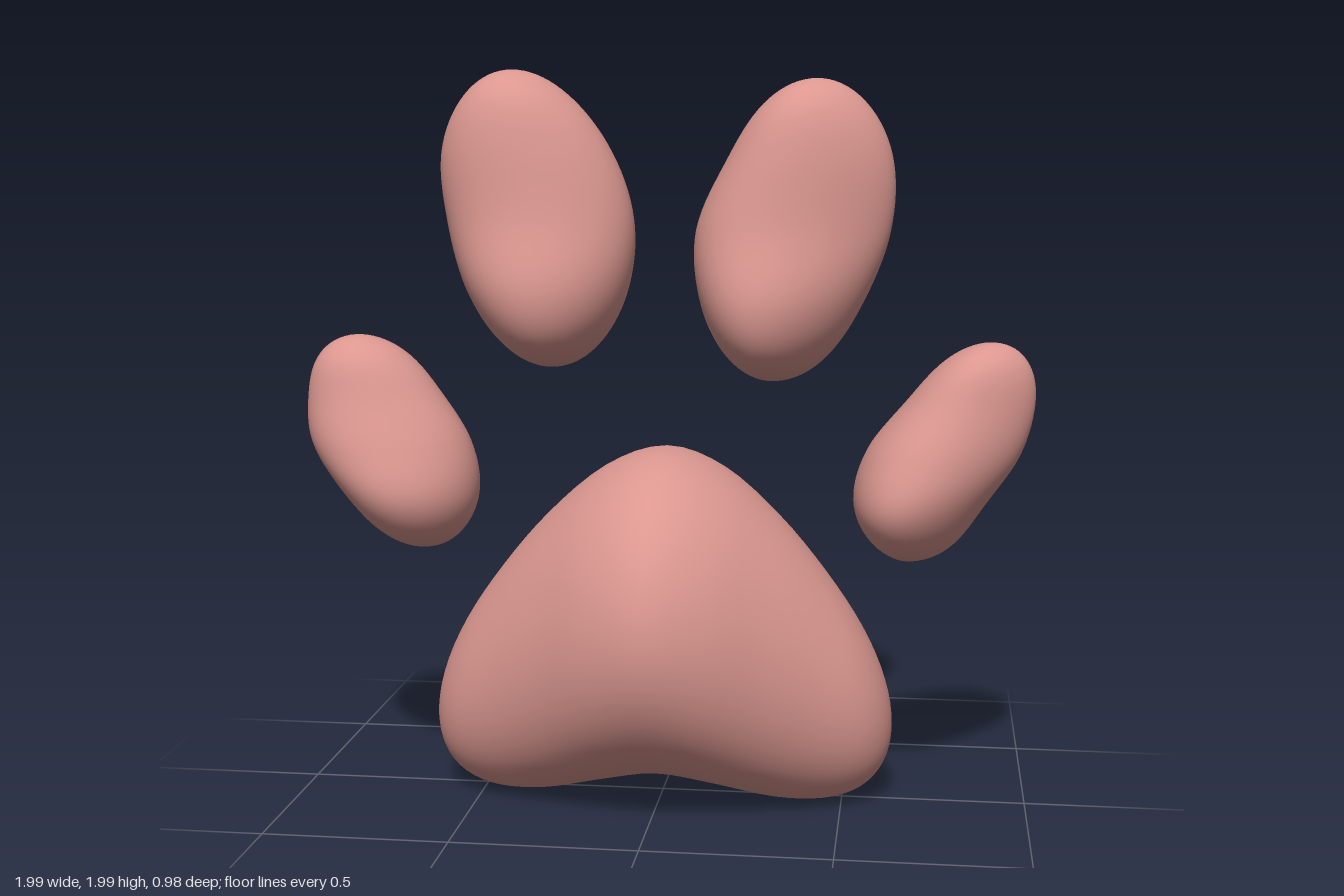
import * as THREE from 'three';
import { mergeVertices } from 'three/addons/utils/BufferGeometryUtils.js';

const RINGS = 48, SIDES = 64;

// Rounded blob lofted along an axis from a to b. Each evenly spaced station is
// [centre offset, half width, half depth]; a sine envelope rounds both ends.
// taper thins the section towards its positive side.
function blob(a, b, stations, { horizontal = false, taper = 0 } = {}) {
  const curve = new THREE.CatmullRomCurve3(
    stations.map((s) => new THREE.Vector3(...s)), false, 'catmullrom', 0.5);
  const pos = [], index = [], p = new THREE.Vector3();
  for (let j = 0; j <= RINGS; j++) {
    const phi = (j / RINGS) * Math.PI;
    const u = (1 - Math.cos(phi)) / 2;
    const env = j === 0 || j === RINGS ? 0 : Math.sin(phi);
    curve.getPoint(u, p);
    const along = a + (b - a) * u;
    for (let i = 0; i < SIDES; i++) {
      const t = (i / SIDES) * Math.PI * 2;
      const across = p.x + p.y * env * Math.cos(t);
      const z = p.z * env * Math.sin(t) * (1 - taper * Math.cos(t));
      if (horizontal) pos.push(along, across, -z);
      else pos.push(across, along, z);
    }
  }
  for (let j = 0; j < RINGS; j++) {
    for (let i = 0; i < SIDES; i++) {
      const k = (i + 1) % SIDES;
      const p0 = j * SIDES + i, p1 = j * SIDES + k;
      const q0 = p0 + SIDES, q1 = p1 + SIDES;
      if (j > 0) index.push(p0, q0, p1);
      if (j < RINGS - 1) index.push(p1, q0, q1);
    }
  }
  const g = new THREE.BufferGeometry();
  g.setAttribute('position', new THREE.Float32BufferAttribute(pos, 3));
  g.setIndex(index);
  const merged = mergeVertices(g, 1e-5);
  merged.computeVertexNormals();
  return merged;
}

export function createModel() {
  const group = new THREE.Group();
  const material = new THREE.MeshStandardMaterial({ color: 0xdb9790 });
  const add = (name, geometry) => {
    const mesh = new THREE.Mesh(geometry, material);
    mesh.name = name;
    group.add(mesh);
  };

  // Main pad: mirrored stations from the middle out to each lobe
  const half = [[0.53, 0.45, 0.49], [0.49, 0.452, 0.45], [0.405, 0.45, 0.38],
    [0.31, 0.445, 0.34], [0.22, 0.45, 0.36]];
  const pad = [...half.slice(1).reverse(), ...half];
  add('mainPad', blob(-0.635, 0.635, pad, { horizontal: true }));

  // Inner toes
  add('rightInnerToe', blob(1.2, 2.0, [[-0.3, 0.235, 0.36], [-0.315, 0.248, 0.277],
    [-0.335, 0.255, 0.195], [-0.375, 0.26, 0.19], [-0.41, 0.25, 0.24]], { taper: 0.1 }));
  add('leftInnerToe', blob(1.17, 1.975, [[0.305, 0.24, 0.36], [0.32, 0.247, 0.277],
    [0.35, 0.26, 0.195], [0.395, 0.25, 0.19], [0.41, 0.25, 0.24]], { taper: 0.28 }));

  // Outer toes
  add('rightOuterToe', blob(0.69, 1.28, [[-0.663, 0.2, 0.26], [-0.7, 0.208, 0.245],
    [-0.76, 0.22, 0.195], [-0.81, 0.208, 0.165], [-0.85, 0.22, 0.2]], { taper: 0.1 }));
  add('leftOuterToe', blob(0.685, 1.28, [[0.68, 0.2, 0.26], [0.695, 0.2, 0.245],
    [0.76, 0.206, 0.195], [0.835, 0.192, 0.165], [0.885, 0.2, 0.2]], { taper: 0.28 }));

  return group;
}
